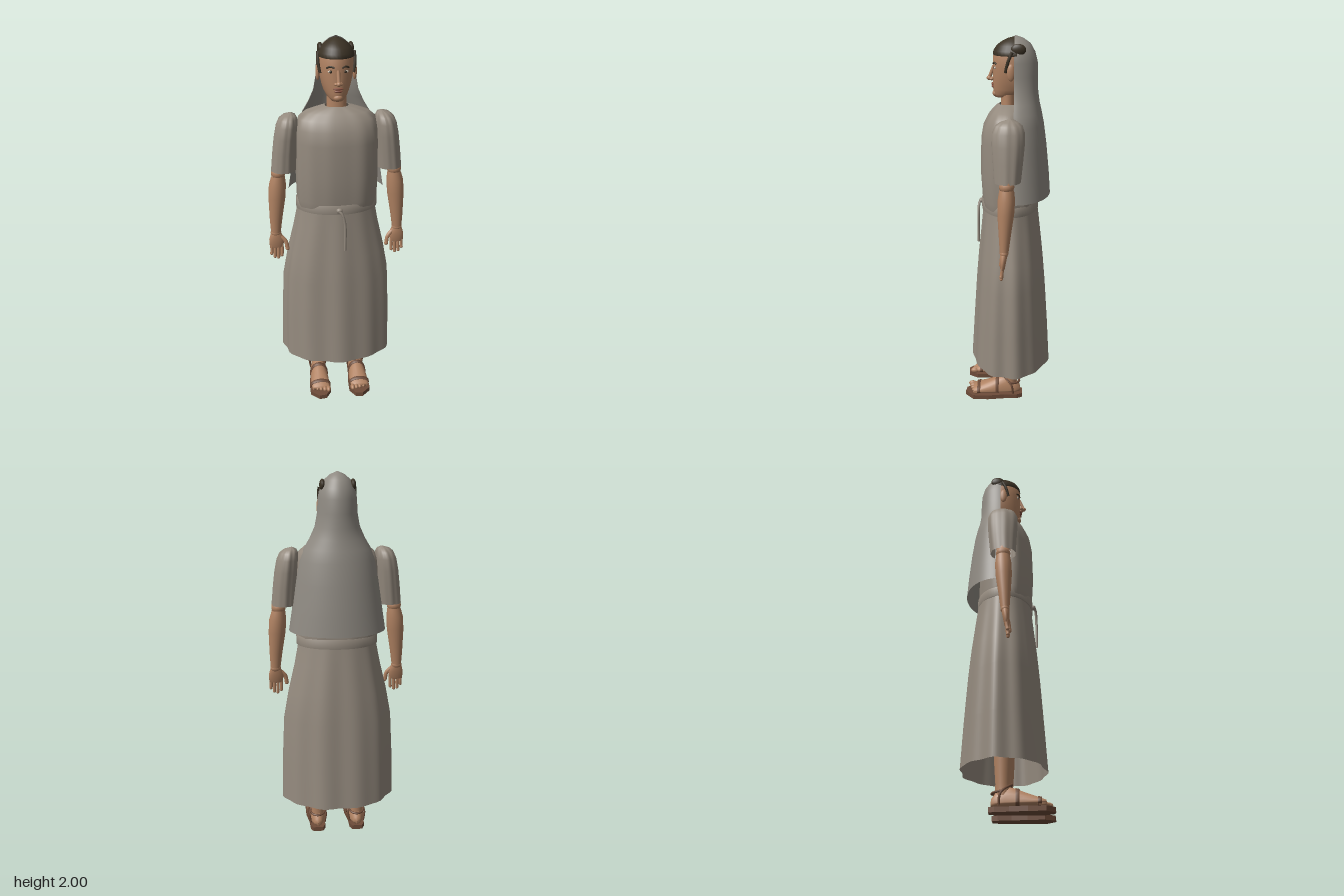
import * as THREE from 'three';

const mat = (name, color, double) => {
  const m = new THREE.MeshStandardMaterial({ color });
  m.name = name;
  if (double) m.side = THREE.DoubleSide;
  return m;
};

// Rings stacked along y. Row: [y, centreX, centreZ, radiusX, frontRadius, backRadius, foldAmount]
function loft(rows, { n = 24, power = 2, from = 0, arc = Math.PI * 2, seed = 0 } = {}) {
  const closed = arc > 6.28, cols = closed ? n : n + 1, pos = [], idx = [];
  const soft = v => Math.sign(v) * Math.abs(v) ** (2 / power);
  rows.forEach(([y, cx, cz, rx, rf, rb = rf, fold = 0]) => {
    for (let i = 0; i < cols; i++) {
      const a = from + arc * i / n, s = soft(Math.sin(a)), c = soft(Math.cos(a));
      const k = 1 + fold * (0.6 * Math.cos(11 * a + seed) + 0.5 * Math.sin(7 * a + 2 * seed + 1));
      pos.push(cx + rx * s * k, y, cz + (c > 0 ? rf : rb) * c * k);
    }
  });
  for (let j = 0; j < rows.length - 1; j++) for (let i = 0; i < n; i++) {
    const a = j * cols + i, b = j * cols + (i + 1) % cols;
    idx.push(a, b, a + cols, b, b + cols, a + cols);
  }
  const g = new THREE.BufferGeometry();
  g.setAttribute('position', new THREE.Float32BufferAttribute(pos, 3));
  g.setIndex(idx);
  g.computeVertexNormals();
  return g;
}

const tube = (pts, r, seg = 16) => new THREE.TubeGeometry(
  new THREE.CatmullRomCurve3(pts.map(p => new THREE.Vector3(...p))), seg, r, 8);

export function createModel() {
  const root = new THREE.Group();
  const cloth = mat('taupe cloth', 0x948a7e, true);
  const veilCloth = mat('grey veil cloth', 0x8f8a82, true);
  const skin = mat('skin', 0xb08262);
  const hair = mat('dark hair', 0x3b3225);
  const leather = mat('sandal leather', 0x6e4c39, true);
  const lip = mat('lips', 0x86503f);
  const white = mat('eye white', 0xd0c4b4);

  const add = (name, geo, m, parent = root) => {
    const mesh = new THREE.Mesh(geo, m);
    mesh.name = name;
    parent.add(mesh);
    return mesh;
  };
  const blob = (name, m, p, s, parent) => {
    const mesh = add(name, new THREE.SphereGeometry(1, 16, 12), m, parent);
    mesh.position.set(...p);
    mesh.scale.set(...s);
    return mesh;
  };

  // Robe
  add('skirt', loft([
    [0.22, 0, -0.012, 0.305, 0.212, 0.218, 0.035], [0.45, 0, -0.012, 0.3, 0.198, 0.205, 0.033],
    [0.7, 0, -0.012, 0.288, 0.182, 0.188, 0.03], [0.85, 0, -0.012, 0.262, 0.17, 0.175, 0.026],
    [1.0, 0, -0.012, 0.228, 0.155, 0.158, 0.02], [1.1, 0, -0.012, 0.21, 0.146, 0.146, 0.012],
    [1.13, 0, -0.012, 0.206, 0.142, 0.142, 0.01]], { n: 120 }), cloth);
  add('tunic', loft([
    [1.13, 0, 0, 0.205, 0.13, 0.145, 0.01], [1.17, 0, 0, 0.212, 0.138, 0.148, 0.016],
    [1.3, 0, 0, 0.215, 0.146, 0.145, 0.016], [1.48, 0, 0, 0.213, 0.142, 0.14, 0.016],
    [1.55, 0, 0, 0.209, 0.13, 0.13, 0.016], [1.6, 0, 0, 0.195, 0.105, 0.11, 0.016],
    [1.63, 0, 0, 0.16, 0.082, 0.085, 0.018], [1.65, 0, 0, 0.1, 0.062, 0.062, 0.02],
    [1.66, 0, 0, 0.06, 0.048, 0.048, 0.01]], { n: 96, power: 2.4, seed: 1 }), cloth);
  add('belt', loft([
    [1.11, 0, -0.008, 0.208, 0.144, 0.144], [1.11, 0, -0.008, 0.217, 0.15, 0.15],
    [1.16, 0, -0.008, 0.217, 0.15, 0.15], [1.16, 0, -0.008, 0.2, 0.134, 0.134]], { n: 64 }), cloth);
  blob('beltKnot', cloth, [-0.002, 1.135, 0.147], [0.017, 0.014, 0.012]);
  add('beltCord', tube([[-0.015, 1.14, 0.147], [0.008, 1.125, 0.157], [0.025, 1.07, 0.161],
    [0.027, 0.91, 0.161]], 0.007), cloth);

  // Half-shell veil, open at the front
  add('veil', loft([
    [1.19, 0, -0.03, 0.255, 0.19], [1.3, 0, -0.03, 0.238, 0.182], [1.45, 0, -0.03, 0.215, 0.167],
    [1.56, 0, -0.03, 0.196, 0.152], [1.62, 0, -0.03, 0.172, 0.14], [1.67, 0, -0.03, 0.142, 0.128],
    [1.73, 0, -0.03, 0.115, 0.12], [1.8, 0, -0.03, 0.102, 0.119], [1.87, 0, -0.03, 0.099, 0.116],
    [1.92, 0, -0.03, 0.089, 0.103], [1.96, 0, -0.03, 0.066, 0.08], [1.985, 0, -0.03, 0.036, 0.045],
    [2.0, 0, -0.03, 0.001, 0.001]],
    { n: 40, from: Math.PI / 2, arc: Math.PI }), veilCloth);

  // Head
  const head = new THREE.Group();
  head.name = 'head';
  root.add(head);
  add('neck', loft([[1.6, 0, 0.002, 0.055, 0.042], [1.66, 0, 0.002, 0.05, 0.038],
    [1.76, 0, 0, 0.05, 0.036]]), skin, head);
  add('skull', loft([
    [1.69, 0, 0.04, 0.001, 0.001], [1.693, 0, 0.03, 0.03, 0.038, 0.03], [1.71, 0, 0, 0.05, 0.077, 0.05],
    [1.735, 0, -0.025, 0.064, 0.104, 0.06], [1.77, 0, -0.025, 0.075, 0.106, 0.075],
    [1.81, 0, -0.025, 0.083, 0.104, 0.085], [1.85, 0, -0.025, 0.087, 0.104, 0.09],
    [1.9, 0, -0.025, 0.087, 0.103, 0.085], [1.94, 0, -0.025, 0.075, 0.085, 0.065],
    [1.97, 0, -0.025, 0.001, 0.001]], { n: 32 }), skin, head);
  add('hairCap', loft([
    [1.902, 0, -0.027, 0.086, 0.1, 0.08], [1.905, 0, -0.027, 0.093, 0.107, 0.085],
    [1.925, 0, -0.027, 0.089, 0.104, 0.08], [1.95, 0, -0.027, 0.075, 0.088, 0.07],
    [1.97, 0, -0.027, 0.052, 0.062, 0.05], [1.985, 0, -0.027, 0.026, 0.03, 0.025],
    [1.993, 0, -0.027, 0.001, 0.001]], { n: 32 }), hair, head);
  add('noseBridge', tube([[0, 1.85, 0.074], [0, 1.82, 0.086], [0, 1.792, 0.098]], 0.009), skin, head);
  blob('noseTip', skin, [0, 1.788, 0.098], [0.013, 0.012, 0.014], head);
  blob('upperLip', lip, [0, 1.76, 0.08], [0.026, 0.006, 0.008], head);
  blob('lowerLip', lip, [0, 1.747, 0.079], [0.021, 0.007, 0.008], head);
  blob('chin', skin, [0, 1.712, 0.066], [0.024, 0.018, 0.017], head);
  for (const s of [-1, 1]) {
    blob('nostril', skin, [s * 0.013, 1.785, 0.086], [0.009, 0.008, 0.011], head);
    blob('eye', white, [s * 0.036, 1.843, 0.067], [0.015, 0.007, 0.006], head);
    blob('iris', hair, [s * 0.036, 1.843, 0.071], [0.007, 0.007, 0.004], head);
    add('brow', tube([[s * 0.018, 1.862, 0.078], [s * 0.037, 1.868, 0.07], [s * 0.055, 1.86, 0.057]],
      0.0045), hair, head);
    blob('ear', skin, [s * 0.093, 1.825, -0.014], [0.011, 0.042, 0.02], head);
    add('sideburn', tube([[s * 0.09, 1.925, -0.02], [s * 0.092, 1.88, 0], [s * 0.083, 1.825, 0.014]],
      0.008), hair, head);
    blob('hairLock', hair, [s * 0.077, 1.935, -0.05], [0.015, 0.029, 0.038], head);
  }

  for (const s of [-1, 1]) {
    const side = s > 0 ? 'left' : 'right';

    // Arm and sleeve
    const arm = new THREE.Group();
    arm.name = side + 'Arm';
    root.add(arm);
    add('sleeve', loft([
      [1.32, s * 0.279, -0.002, 0.064, 0.066, 0.066, 0.03], [1.42, s * 0.271, -0.004, 0.062, 0.074, 0.074, 0.03],
      [1.5, s * 0.263, -0.005, 0.06, 0.08, 0.08, 0.03], [1.56, s * 0.255, -0.006, 0.056, 0.08, 0.08, 0.03],
      [1.595, s * 0.248, -0.008, 0.047, 0.066, 0.066, 0.04], [1.612, s * 0.241, -0.01, 0.033, 0.042, 0.042, 0.05],
      [1.625, s * 0.232, -0.015, 0.001, 0.001]], { n: 48, seed: 2 }), cloth, arm);
    add('upperArm', loft([[1.32, s * 0.306, 0, 0.038, 0.037], [1.38, s * 0.288, 0, 0.044, 0.042],
      [1.55, s * 0.258, 0, 0.045, 0.045]]), skin, arm);
    blob('elbow', skin, [s * 0.307, 1.305, 0], [0.038, 0.036, 0.038], arm);
    add('forearm', loft([[0.965, s * 0.331, 0.012, 0.026, 0.022], [1.05, s * 0.327, 0.009, 0.034, 0.03],
      [1.17, s * 0.318, 0.004, 0.045, 0.042], [1.24, s * 0.313, 0.001, 0.045, 0.043],
      [1.29, s * 0.308, 0, 0.035, 0.036]]), skin, arm);
    blob('wrist', skin, [s * 0.331, 0.965, 0.012], [0.029, 0.022, 0.023], arm);
    add('palm', loft([[0.875, s * 0.33, 0.02, 0.001, 0.001], [0.882, s * 0.33, 0.02, 0.037, 0.012],
      [0.925, s * 0.329, 0.017, 0.04, 0.017], [0.955, s * 0.33, 0.014, 0.031, 0.02],
      [0.975, s * 0.331, 0.012, 0.02, 0.015]]), skin, arm);
    [[0.301, 0.826], [0.32, 0.813], [0.339, 0.818], [0.357, 0.838]].forEach(([x, tip]) => {
      add('finger', tube([[s * x, 0.9, 0.019], [s * x, 0.86, 0.023], [s * (x + 0.002), tip + 0.008, 0.026]],
        0.0088), skin, arm);
      blob('fingertip', skin, [s * (x + 0.002), tip + 0.008, 0.026], [0.0088, 0.009, 0.0088], arm);
    });
    add('thumb', tube([[s * 0.305, 0.945, 0.018], [s * 0.28, 0.915, 0.025], [s * 0.272, 0.875, 0.03]], 0.011), skin, arm);
    blob('thumbTip', skin, [s * 0.272, 0.875, 0.03], [0.011, 0.012, 0.011], arm);

    // Leg, foot and sandal
    const leg = new THREE.Group(), cx = s * 0.112;
    leg.name = side + 'Leg';
    root.add(leg);
    add('shin', loft([[0.08, cx, -0.012, 0.037, 0.037], [0.14, cx, -0.012, 0.036, 0.036],
      [0.25, cx, -0.012, 0.044, 0.043], [0.4, cx, -0.012, 0.05, 0.05], [0.65, cx, -0.012, 0.05, 0.05]]), skin, leg);
    // Sections along the foot: z, half width, top height
    const along = rows => loft(rows.map(([z, w, top]) => [z, cx, -0.045, w, 0.018, top - 0.045]))
      .rotateX(Math.PI / 2);
    add('foot', along([[-0.071, 0.001, 0.046], [-0.066, 0.022, 0.07], [-0.04, 0.036, 0.105],
      [0, 0.042, 0.125], [0.04, 0.045, 0.12], [0.09, 0.05, 0.1], [0.15, 0.053, 0.078],
      [0.195, 0.05, 0.06], [0.2, 0.001, 0.046]]), skin, leg);
    for (let i = 0; i < 5; i++) {
      const r = 0.015 - i * 0.0014;
      blob('toe', skin, [cx + s * (i - 2) * 0.021, 0.028 + r, 0.204 - i * 0.007], [r * 0.85, r, 0.023], leg);
    }
    const strap = (z, w, top) => add('strap', along([[z - 0.009, w - 0.004, top - 0.004],
      [z - 0.009, w + 0.005, top + 0.006], [z + 0.009, w + 0.005, top + 0.002],
      [z + 0.009, w - 0.004, top - 0.006]]), leather, leg);
    strap(0.06, 0.048, 0.113);
    strap(0.165, 0.053, 0.073);
    add('ankleStrap', tube([[cx - s * 0.04, 0.03, -0.03], [cx - s * 0.046, 0.09, -0.02], [cx, 0.135, 0.032],
      [cx + s * 0.046, 0.09, -0.02], [cx + s * 0.04, 0.03, -0.03]], 0.006, 24), leather, leg);
    add('heelStrap', tube([[cx - 0.044, 0.1, -0.01], [cx - 0.03, 0.095, -0.05], [cx, 0.093, -0.065],
      [cx + 0.03, 0.095, -0.05], [cx + 0.044, 0.1, -0.01]], 0.006), leather, leg);
    const outline = [[-0.028, -0.08], [0.028, -0.08], [0.042, -0.05], [0.045, 0.02], [0.059, 0.11],
      [0.059, 0.195], [0.012, 0.24], [-0.028, 0.235], [-0.058, 0.185], [-0.055, 0.1], [-0.043, 0.02], [-0.042, -0.05]];
    const shape = new THREE.Shape(outline.map(([x, z]) => new THREE.Vector2(cx + s * x, z)));
    add('sole', new THREE.ExtrudeGeometry(shape, { depth: 0.025, bevelEnabled: false })
      .rotateX(Math.PI / 2).translate(0, 0.025, 0), leather, leg);
  }
  return root;
}
